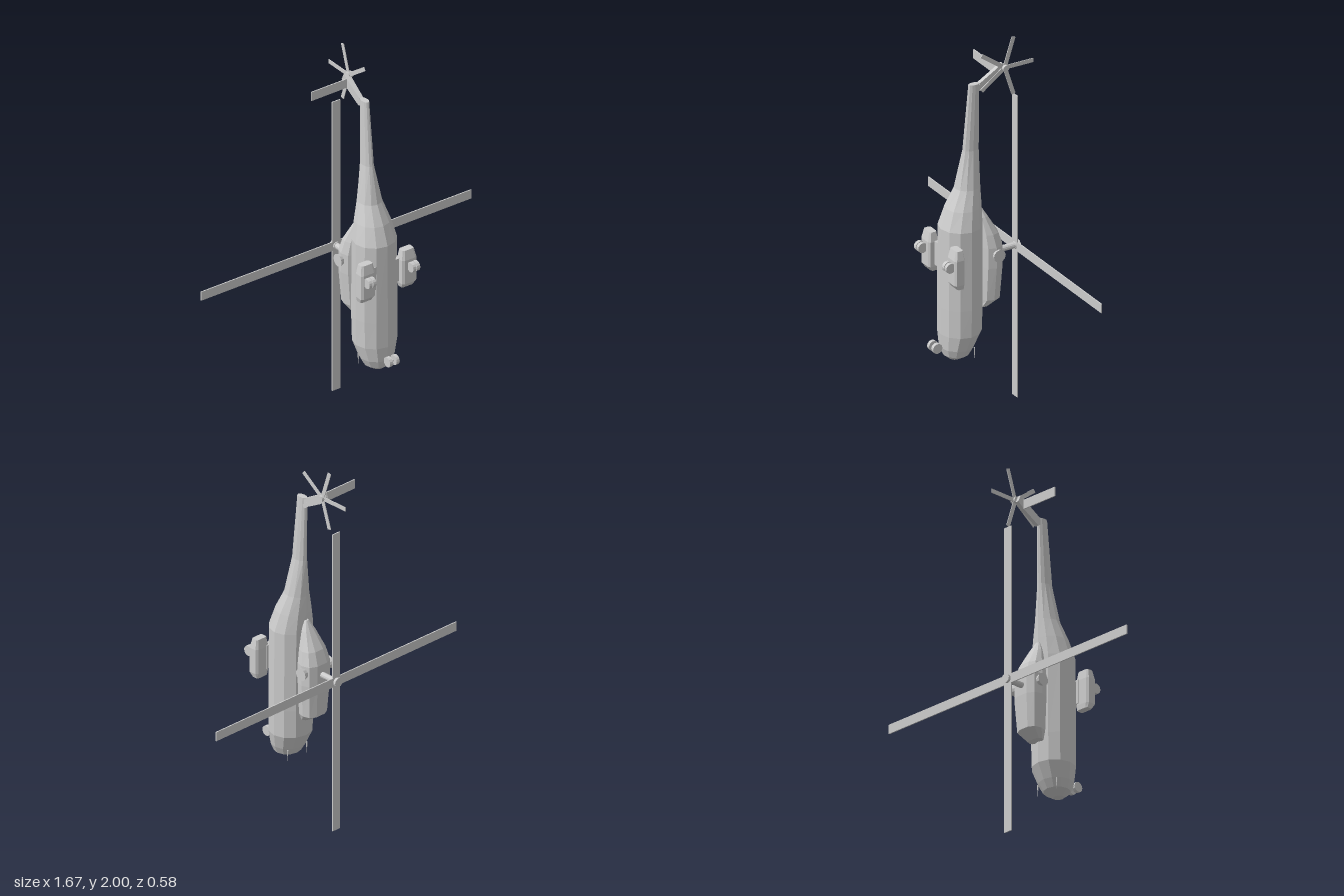
import * as THREE from 'three';

const grey = new THREE.MeshStandardMaterial({ color: 0xcccccc, flatShading: true });
grey.name = 'light grey';

function add(parent, name, geometry, x = 0, y = 0, z = 0) {
  const mesh = new THREE.Mesh(geometry, grey);
  mesh.name = name;
  mesh.position.set(x, y, z);
  parent.add(mesh);
  return mesh;
}

// Loft along y. Each section is [y, rx, zFront, zBack]; a low power makes the outline boxier.
function loft(sections, sides, power = 1, turn = 0) {
  const pos = [], idx = [];
  const bend = (v) => Math.sign(v) * Math.pow(Math.abs(v), power);
  const scale = 1 / bend(Math.cos(turn));
  for (const [y, rx, zf, zb] of sections) {
    for (let j = 0; j < sides; j++) {
      const a = turn + (j / sides) * Math.PI * 2;
      pos.push(rx * scale * bend(Math.cos(a)), y,
        (zf + zb) / 2 + ((zf - zb) / 2) * scale * bend(Math.sin(a)));
    }
  }
  const last = sections.length - 1;
  for (let i = 0; i < last; i++) {
    for (let j = 0; j < sides; j++) {
      const k = (j + 1) % sides;
      const a = i * sides + j, b = i * sides + k, c = a + sides, d = b + sides;
      idx.push(a, c, b, b, c, d);
    }
  }
  // End caps
  for (let j = 1; j < sides - 1; j++) {
    idx.push(0, j, j + 1);
    idx.push(last * sides, last * sides + j + 1, last * sides + j);
  }
  const g = new THREE.BufferGeometry();
  g.setAttribute('position', new THREE.Float32BufferAttribute(pos, 3));
  g.setIndex(idx);
  g.computeVertexNormals();
  return g;
}

const rodX = (r1, r2, len, n = 12) => new THREE.CylinderGeometry(r1, r2, len, n).rotateZ(-Math.PI / 2);
const rodZ = (r1, r2, len, n = 12) => new THREE.CylinderGeometry(r1, r2, len, n).rotateX(Math.PI / 2);

// A pair of wheels with axle and strut
function wheelPair(parent, name, x, y, spread) {
  const gear = new THREE.Group();
  gear.name = name;
  gear.position.set(x, y, 0.265);
  for (const s of [-1, 1]) add(gear, 'wheel', rodX(0.027, 0.027, 0.019, 14), s * spread);
  add(gear, 'axle', rodX(0.006, 0.006, spread * 2, 8));
  add(gear, 'strut', rodZ(0.006, 0.006, 0.06, 8), 0, 0, -0.03);
  parent.add(gear);
}

export function createModel() {
  const model = new THREE.Group();
  model.name = 'helicopter';

  // Fuselage, nose down, tapering up into the tail boom
  add(model, 'fuselage', loft([
    [0.302, 0.03, 0.18, 0.13],
    [0.328, 0.072, 0.212, 0.075],
    [0.37, 0.092, 0.226, 0.05],
    [0.45, 0.115, 0.232, 0.012],
    [0.6, 0.118, 0.232, 0.008],
    [1.03, 0.115, 0.23, 0.008],
    [1.13, 0.092, 0.195, 0.009],
    [1.23, 0.062, 0.145, 0.011],
    [1.43, 0.028, 0.103, 0.013],
    [1.785, 0.017, 0.07, 0.008],
  ], 12));

  // Engine housing on the roof
  add(model, 'engineHousing', loft([
    [0.56, 0.045, 0.02, -0.03],
    [0.6, 0.072, 0.02, -0.094],
    [0.78, 0.085, 0.02, -0.106],
    [0.89, 0.085, 0.02, -0.106],
    [0.96, 0.07, 0.02, -0.083],
    [1.05, 0.038, 0.02, -0.03],
    [1.1, 0.012, 0.02, 0.0],
  ], 10, 0.8));

  for (const s of [-1, 1]) {
    // Flared exhausts
    const exhaust = add(model, 'exhaust', rodX(0.034, 0.022, 0.04), s * 0.08, 0.85, -0.052);
    if (s < 0) exhaust.rotation.y = Math.PI;

    // Side sponsons with main wheels
    add(model, 'sponson', loft([
      [0.758, 0.036, 0.228, 0.19],
      [0.785, 0.044, 0.247, 0.188],
      [0.92, 0.044, 0.247, 0.188],
      [0.97, 0.034, 0.235, 0.195],
    ], 8, 0.4, Math.PI / 8), s * 0.127);
    add(model, 'sponsonArm', new THREE.BoxGeometry(0.05, 0.13, 0.03), s * 0.08, 0.86, 0.2);
    wheelPair(model, 'mainGear', s * 0.135, 0.885, 0.012);

    // Nose probes
    add(model, 'noseProbe', new THREE.CylinderGeometry(0.004, 0.001, 0.06, 6), s * 0.066, 0.335, 0.075);
  }
  wheelPair(model, 'noseGear', 0, 0.388, 0.02);

  // Main rotor with four blades
  const rotor = new THREE.Group();
  rotor.name = 'mainRotor';
  rotor.position.set(0, 0.833, -0.2);
  add(rotor, 'mast', rodZ(0.016, 0.016, 0.13), 0, 0, 0.055);
  add(rotor, 'hub', rodZ(0.019, 0.026, 0.028), 0, 0, -0.006);
  for (let i = 0; i < 4; i++) {
    const blade = add(rotor, 'rotorBlade', new THREE.BoxGeometry(0.833, 0.05, 0.006).translate(0.4165, 0, 0));
    blade.rotation.z = (i * Math.PI) / 2;
  }
  model.add(rotor);

  // Slanted tail pylon
  const outline = new THREE.Shape([
    [-0.03, 1.75], [0, 1.74], [0.1, 1.795], [0.138, 1.825], [0.122, 1.862], [-0.01, 1.785],
  ].map(([u, v]) => new THREE.Vector2(u, v)));
  add(model, 'tailPylon', new THREE.ExtrudeGeometry(outline, { depth: 0.022, bevelEnabled: false })
    .translate(0, 0, -0.011).rotateY(Math.PI / 2));

  // One-sided stabilizer
  add(model, 'stabilizer', new THREE.BoxGeometry(0.228, 0.05, 0.006), -0.114, 1.82, -0.098);

  // Five-blade tail rotor
  const tail = new THREE.Group();
  tail.name = 'tailRotor';
  tail.position.set(0.023, 1.843, -0.126);
  add(tail, 'tailHub', rodX(0.017, 0.017, 0.032), 0.001);
  for (let i = 0; i < 5; i++) {
    const blade = add(tail, 'tailBlade', new THREE.BoxGeometry(0.004, 0.022, 0.165).translate(0, 0, -0.0825));
    blade.rotation.x = (i * Math.PI * 2) / 5;
  }
  model.add(tail);

  return model;
}
